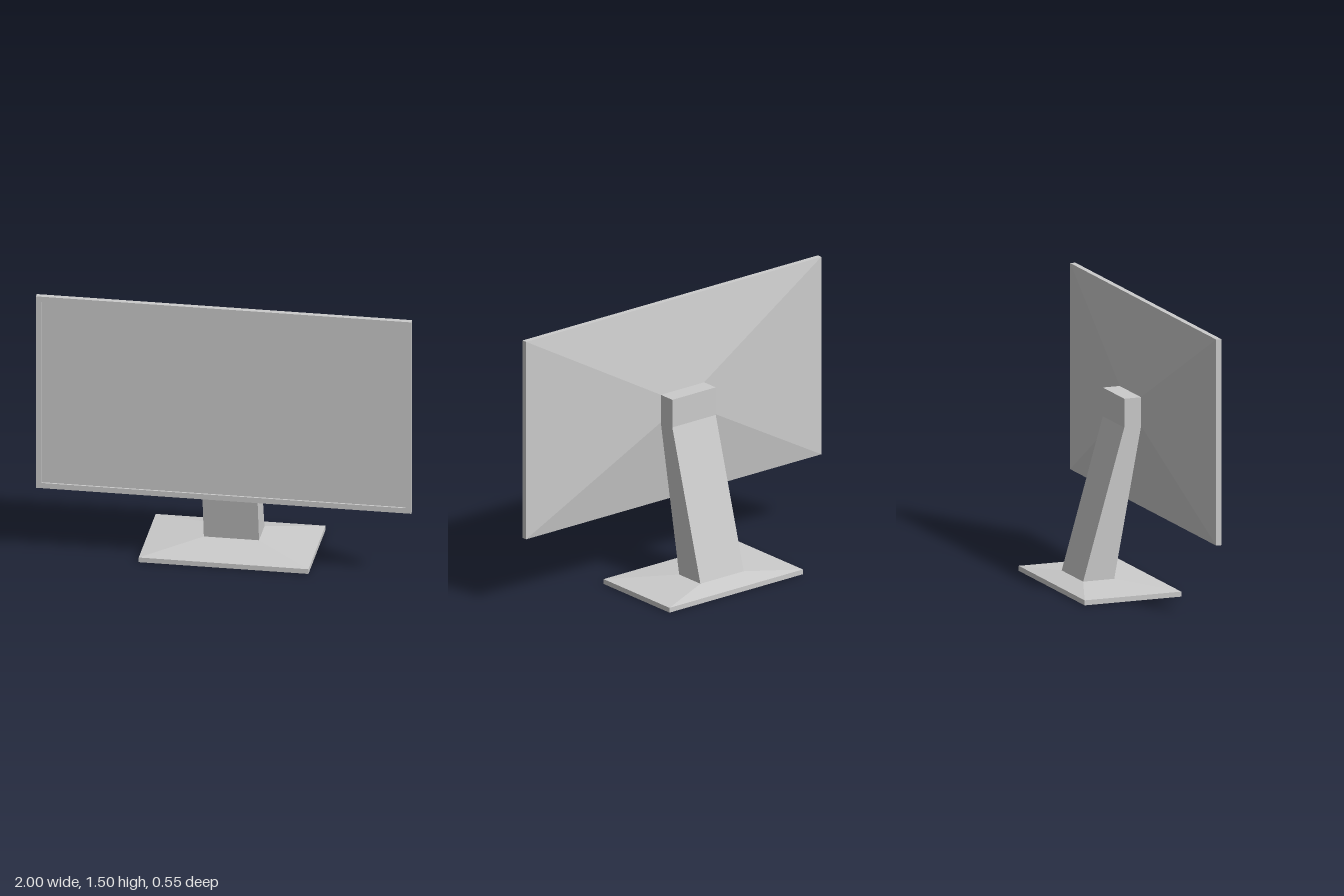
import * as THREE from 'three';

const material = new THREE.MeshStandardMaterial({ color: 0xcccccc, flatShading: true });

// Closed loft through rectangles [halfWidth, low, high, depth], stacked along z
function loftRectangles(rects) {
  const rings = rects.map(([w, lo, hi, d]) =>
    [[-w, lo, d], [w, lo, d], [w, hi, d], [-w, hi, d]]);
  const pos = [];
  const quad = (a, b, c, d) => pos.push(...a, ...b, ...c, ...a, ...c, ...d);
  for (let r = 0; r < rings.length - 1; r++) {
    for (let i = 0; i < 4; i++) {
      const j = (i + 1) % 4;
      quad(rings[r][i], rings[r][j], rings[r + 1][j], rings[r + 1][i]);
    }
  }
  quad(...[...rings[0]].reverse());
  quad(...rings[rings.length - 1]);
  const geometry = new THREE.BufferGeometry();
  geometry.setAttribute('position', new THREE.Float32BufferAttribute(pos, 3));
  geometry.computeVertexNormals();
  return geometry;
}

export function createModel() {
  const group = new THREE.Group();
  group.name = 'monitor';
  const add = (name, geometry) => {
    const mesh = new THREE.Mesh(geometry, material);
    mesh.name = name;
    group.add(mesh);
  };

  const neckHalf = 0.147;
  const neckTop = 1.02, neckBend = 0.865, baseTop = 0.055;

  // Display: tapered back, thin rim, bezel and slightly recessed screen
  const bezel = 0.03, bottom = 0.39, top = 1.5;
  add('display', loftRectangles([
    [neckHalf, neckBend, neckTop, 0.173],
    [1, bottom, top, 0.246],
    [1, bottom, top, 0.275],
    [1 - bezel, bottom + bezel, top - bezel, 0.275],
    [1 - bezel, bottom + bezel, top - bezel, 0.265],
  ]));

  // Neck: bent side profile (z, y), extruded across the width
  const profile = [
    [0.02, baseTop], [-0.157, baseTop], [0.077, neckBend],
    [0.077, neckTop], [0.173, neckTop], [0.173, neckBend],
  ];
  const shape = new THREE.Shape(profile.map(([z, y]) => new THREE.Vector2(-z, y)));
  const neck = new THREE.ExtrudeGeometry(shape, { depth: neckHalf * 2, bevelEnabled: false });
  neck.translate(0, 0, -neckHalf).rotateY(Math.PI / 2);
  add('neck', neck);

  // Base: flat plate sloping up to the foot of the neck
  const base = loftRectangles([
    [0.452, -0.275, 0.275, 0],
    [0.452, -0.275, 0.275, 0.027],
    [neckHalf, -0.02, 0.157, baseTop],
  ]);
  base.rotateX(-Math.PI / 2);
  add('base', base);

  return group;
}
